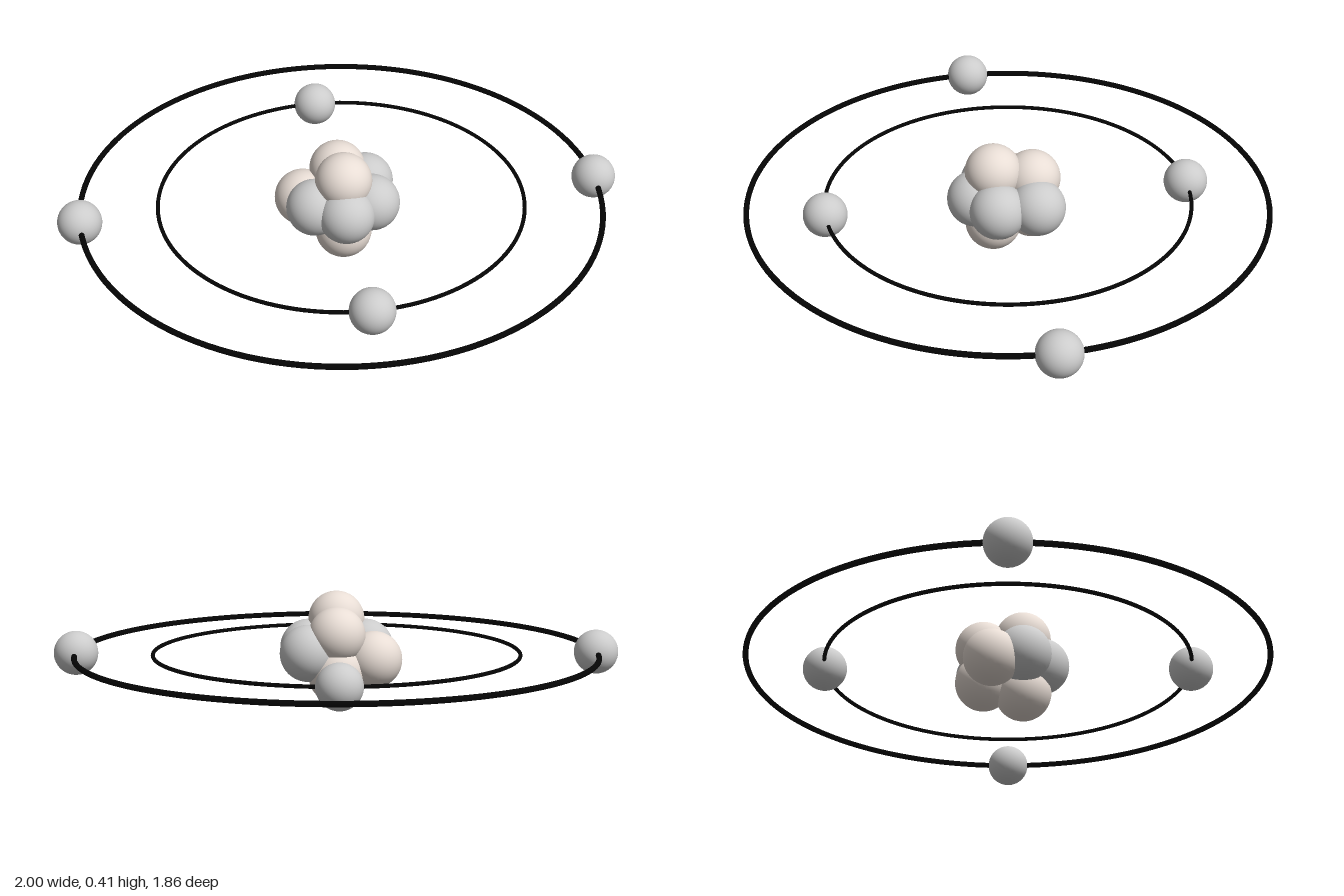
import * as THREE from 'three';

const ORBIT_Y = 0.194;

export function createModel() {
  const model = new THREE.Group();
  model.name = 'atom';

  const grey = new THREE.MeshStandardMaterial({ color: 0xcccccc });
  const beige = new THREE.MeshStandardMaterial({ color: 0xe8ddd5 });
  const black = new THREE.MeshStandardMaterial({ color: 0x050505 });

  const nucleonGeometry = new THREE.SphereGeometry(0.1, 40, 24);
  const electronGeometry = new THREE.SphereGeometry(0.078, 40, 24);

  const addBall = (parent, name, geometry, material, position) => {
    const ball = new THREE.Mesh(geometry, material);
    ball.name = name;
    ball.position.set(...position);
    parent.add(ball);
  };

  // Nucleus: a tight cluster of four protons and five neutrons
  const nucleus = new THREE.Group();
  nucleus.name = 'nucleus';
  const protons = [
    [0, 0.203, 0.117],
    [-0.103, 0.205, 0.053],
    [0.1, 0.205, 0.053],
    [0.1, 0.205, -0.087],
  ];
  const neutrons = [
    [0, 0.306, 0.053],
    [0, 0.1, 0.053],
    [0, 0.268, -0.087],
    [0, 0.138, -0.087],
    [-0.13, 0.178, -0.057],
  ];
  protons.forEach((p) => addBall(nucleus, 'proton', nucleonGeometry, grey, p));
  neutrons.forEach((p) => addBall(nucleus, 'neutron', nucleonGeometry, beige, p));
  model.add(nucleus);

  // Orbits: a thin flat-lying ring with two opposite electrons on each
  const addOrbit = (name, radius, tube, angle) => {
    const orbit = new THREE.Group();
    orbit.name = name;
    orbit.position.y = ORBIT_Y;
    const ring = new THREE.Mesh(new THREE.TorusGeometry(radius, tube, 12, 128), black);
    ring.name = 'orbitRing';
    ring.rotation.x = Math.PI / 2;
    orbit.add(ring);
    for (const side of [1, -1]) {
      const x = side * radius * Math.cos(angle);
      const z = side * radius * Math.sin(angle);
      addBall(orbit, 'electron', electronGeometry, grey, [x, 0, z]);
    }
    model.add(orbit);
  };
  addOrbit('innerOrbit', 0.648, 0.007, Math.PI / 2);
  addOrbit('outerOrbit', 0.921, 0.01, 0);

  return model;
}
